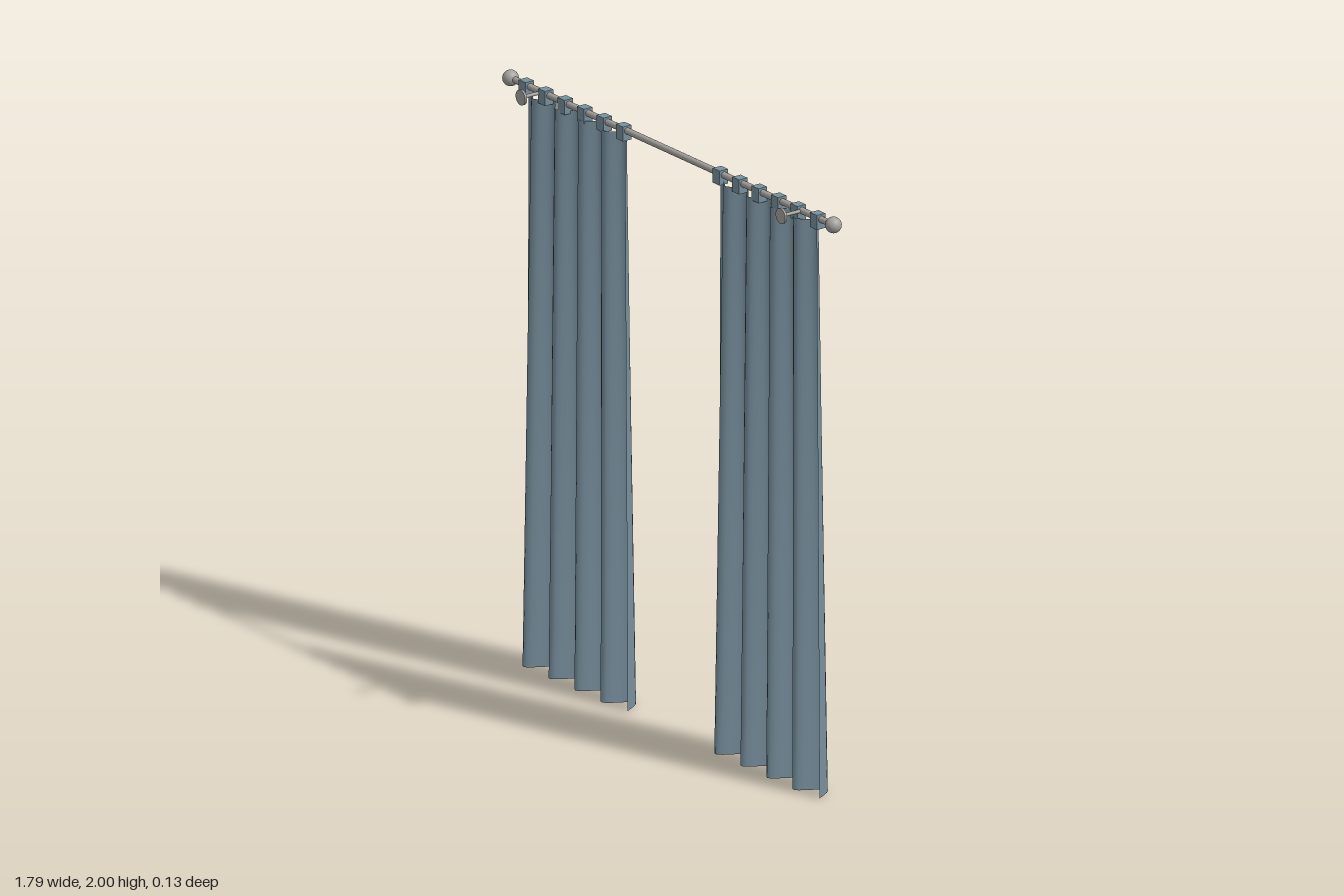
import * as THREE from 'three';

const ROD_Y = 1.973, ROD_Z = -0.023;

export function createModel() {
  const fabric = new THREE.MeshStandardMaterial({ color: 0x78909e, side: THREE.DoubleSide });
  fabric.name = 'blue grey fabric';
  const metal = new THREE.MeshStandardMaterial({ color: 0xa5a29e });
  metal.name = 'brushed metal';

  const model = new THREE.Group();
  model.name = 'curtains';
  const add = (name, geometry, material, x, y, z, parent = model) => {
    const mesh = new THREE.Mesh(geometry, material);
    mesh.name = name;
    mesh.position.set(x, y, z);
    parent.add(mesh);
    return mesh;
  };

  // Rod with ball ends
  add('rod', new THREE.CylinderGeometry(0.011, 0.011, 1.73, 20).rotateZ(Math.PI / 2), metal, 0, ROD_Y, ROD_Z);
  for (const s of [-1, 1]) {
    add('finial', new THREE.SphereGeometry(0.027, 24, 16), metal, s * 0.867, ROD_Y, ROD_Z);
    // Bracket: stem and round plate
    const bracket = new THREE.Group();
    bracket.name = 'bracket';
    model.add(bracket);
    const stem = new THREE.CylinderGeometry(0.006, 0.006, 0.08, 12).rotateX(Math.PI / 2);
    add('bracketStem', stem, metal, s * 0.698, ROD_Y, 0.018, bracket);
    const plate = new THREE.CylinderGeometry(0.026, 0.026, 0.008, 24).rotateX(Math.PI / 2);
    add('bracketPlate', plate, metal, s * 0.698, ROD_Y, 0.06, bracket);
  }

  // Pleated panel: folds deepen and the cloth widens towards the hem
  const panelGeometry = () => {
    const g = new THREE.PlaneGeometry(1, 1, 60, 12);
    const p = g.attributes.position;
    for (let i = 0; i < p.count; i++) {
      const u = p.getX(i) + 0.5;
      const drop = 0.5 - p.getY(i);
      const width = 0.558 + 0.062 * drop;
      const depth = 0.022 + 0.02 * drop;
      const fold = Math.cos(2 * Math.PI * (4.444 * u - 0.094));
      p.setXYZ(i, (u - 0.5) * width, 1.95 * (1 - drop), -depth * fold);
    }
    g.computeVertexNormals();
    return g;
  };

  for (const s of [-1, 1]) {
    const curtain = new THREE.Group();
    curtain.name = s > 0 ? 'leftCurtain' : 'rightCurtain';
    curtain.position.set(s * 0.515, 0, ROD_Z);
    model.add(curtain);
    add('panel', panelGeometry(), fabric, 0, 0, 0, curtain);
    // Hanging tabs around the rod
    for (let i = 0; i < 6; i++) {
      const tab = new THREE.BoxGeometry(0.037, 0.05, 0.034);
      add('tab', tab, fabric, s * 0.006 + (i - 2.5) * 0.1045, 1.965, 0, curtain);
    }
  }
  return model;
}
